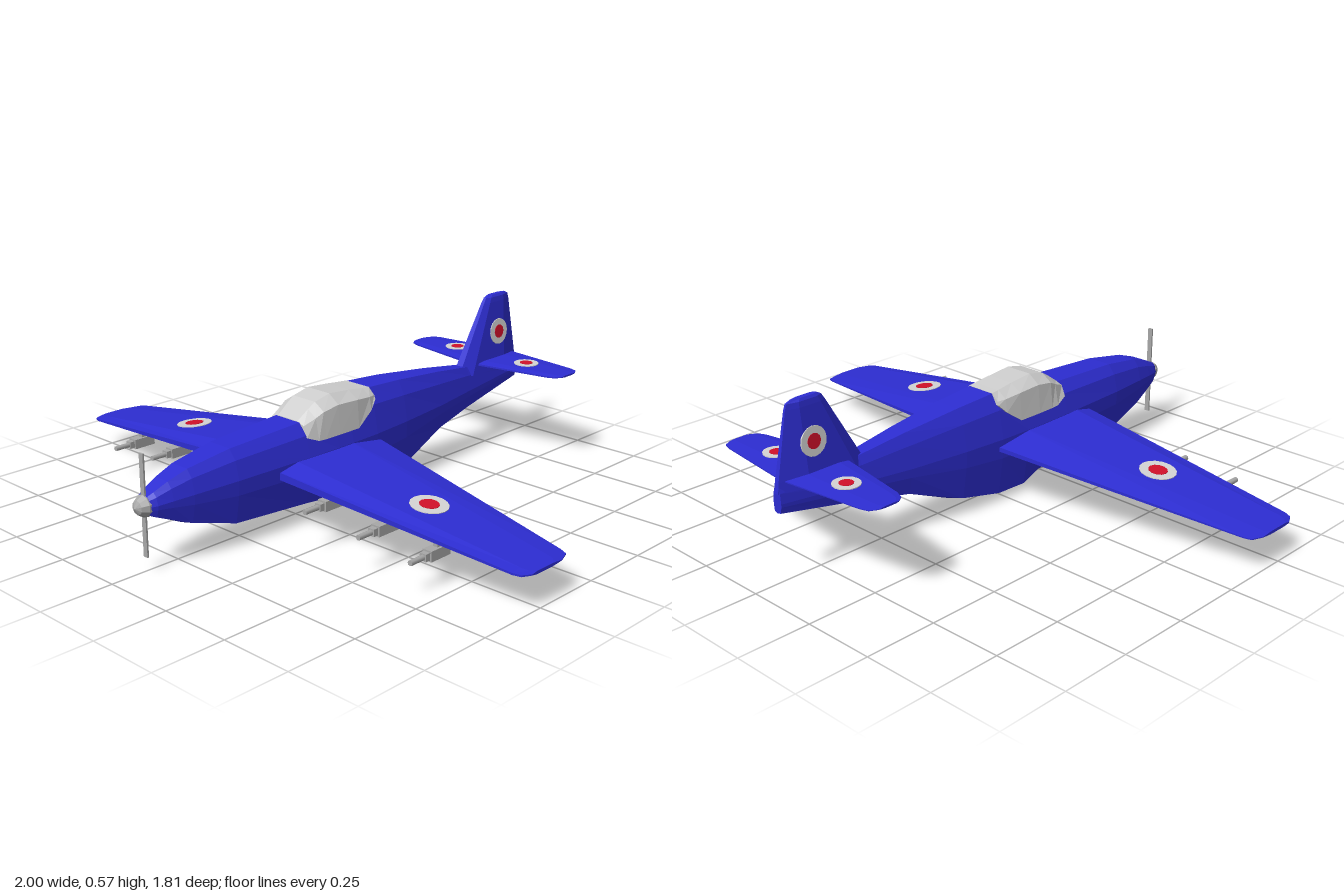
import * as THREE from 'three';

const mat = (name, color) => {
  const m = new THREE.MeshStandardMaterial({ color });
  m.name = name;
  return m;
};

// Skin a closed, flat-shaded surface over a list of equal-length rings of [x, y, z]
function loft(rings) {
  const tris = [];
  const n = rings[0].length;
  for (let i = 0; i < rings.length - 1; i++) {
    for (let j = 0; j < n; j++) {
      const k = (j + 1) % n;
      const a = rings[i][j], b = rings[i][k], c = rings[i + 1][k], d = rings[i + 1][j];
      tris.push([a, b, c], [a, c, d]);
    }
  }
  const first = rings[0], last = rings[rings.length - 1];
  for (let j = 1; j < n - 1; j++) {
    tris.push([first[0], first[j + 1], first[j]], [last[0], last[j], last[j + 1]]);
  }
  // Turn everything outward if the enclosed volume comes out negative
  let volume = 0;
  const [a, b, c] = [0, 0, 0].map(() => new THREE.Vector3());
  for (const t of tris) volume += a.fromArray(t[0]).dot(b.fromArray(t[1]).cross(c.fromArray(t[2])));
  if (volume < 0) tris.forEach((t) => t.reverse());
  const g = new THREE.BufferGeometry();
  g.setAttribute('position', new THREE.Float32BufferAttribute(tris.flat(2), 3));
  g.computeVertexNormals();
  return g;
}

// Blunt airfoil outline as [z, height from -1 to 1]
function airfoil(lead, trail) {
  const z = (f) => lead + (trail - lead) * f;
  return [[z(0), 0.4], [z(0.16), 1], [z(0.7), 1], [z(1), 0.25],
    [z(1), -0.25], [z(0.7), -1], [z(0.16), -1], [z(0), -0.4]];
}

// Horizontal surface from stations [x, lead z, trail z, top y, bottom y]
const panel = (stations, side) => loft(stations.map(([x, lead, trail, top, bottom]) =>
  airfoil(lead, trail).map(([z, h]) => [side * x, (top + bottom) / 2 + h * (top - bottom) / 2, z])));

export function createModel() {
  const model = new THREE.Group();
  const blue = mat('blue paint', 0x2d2dd2);
  const glass = mat('pale canopy', 0xcecece);
  const metal = mat('grey metal', 0xa8a8a8);
  const white = mat('marking white', 0xd4d4d4);
  const red = mat('marking red', 0xd2102a);

  const add = (name, geometry, material, parent = model) => {
    const m = new THREE.Mesh(geometry, material);
    m.name = name;
    parent.add(m);
    return m;
  };

  // Round marking of two thin discs lying on a surface
  const roundel = (name, radius, x, y, z, tilt) => {
    const g = new THREE.Group();
    g.name = name;
    add('outerDisc', new THREE.CylinderGeometry(radius, radius, 0.005, 16), white, g);
    add('innerDisc', new THREE.CylinderGeometry(radius * 0.52, radius * 0.52, 0.008, 12), red, g);
    g.position.set(x, y, z);
    g.rotation.z = tilt;
    model.add(g);
  };

  // Fuselage stations: z, half width, top, widest height, bottom
  const hull = [
    [0.87, 0.034, 0.25, 0.22, 0.19], [0.85, 0.044, 0.26, 0.222, 0.178],
    [0.8, 0.055, 0.282, 0.226, 0.155], [0.73, 0.068, 0.305, 0.23, 0.122],
    [0.57, 0.088, 0.33, 0.235, 0.07], [0.28, 0.104, 0.345, 0.238, 0.053],
    [0.15, 0.106, 0.36, 0.238, 0.04], [0.08, 0.105, 0.37, 0.238, 0.006],
    [-0.04, 0.101, 0.39, 0.238, 0.008], [-0.2, 0.09, 0.38, 0.24, 0.045],
    [-0.42, 0.064, 0.358, 0.242, 0.14], [-0.6, 0.042, 0.335, 0.25, 0.178],
    [-0.9, 0.018, 0.32, 0.27, 0.235],
  ];
  add('fuselage', loft(hull.map(([z, w, top, mid, low]) => {
    const half = [
      [0.52 * w, top], [0.82 * w, top - 0.35 * (top - mid)], [w, mid],
      [0.97 * w, mid - 0.3 * (mid - low)], [0.8 * w, low + 0.12 * (mid - low)],
    ];
    const mirrored = half.map(([x, y]) => [-x, y]).reverse();
    return [...half, [0, low], ...mirrored].map(([x, y]) => [x, y, z]);
  })), blue);

  // Canopy stations: z, base x, base y, shoulder x, shoulder y, roof x, roof y
  const canopy = [
    [0.28, 0.09, 0.3, 0.074, 0.337, 0.045, 0.347],
    [0.235, 0.099, 0.282, 0.084, 0.355, 0.048, 0.378],
    [0.205, 0.1, 0.28, 0.09, 0.37, 0.05, 0.396],
    [0.14, 0.101, 0.28, 0.092, 0.38, 0.05, 0.41],
    [0.05, 0.1, 0.28, 0.092, 0.376, 0.05, 0.402],
    [-0.015, 0.094, 0.325, 0.086, 0.37, 0.052, 0.394],
    [-0.045, 0.084, 0.355, 0.078, 0.368, 0.053, 0.391],
  ];
  add('canopy', loft(canopy.map(([z, bx, by, sx, sy, rx, ry]) =>
    [[bx, by, z], [sx, sy, z], [rx, ry, z], [-rx, ry, z], [-sx, sy, z], [-bx, by, z]])), glass);

  // Drooping wings, tailplanes, guns and their markings, mirrored
  const wing = [
    [0.05, 0.41, -0.065, 0.243, 0.178], [0.96, 0.335, 0.105, 0.135, 0.119],
    [0.985, 0.325, 0.115, 0.132, 0.118], [1, 0.295, 0.155, 0.129, 0.119],
  ];
  const tailplane = [
    [0, -0.645, -0.88, 0.343, 0.327], [0.305, -0.7, -0.845, 0.341, 0.329],
    [0.335, -0.712, -0.836, 0.34, 0.33], [0.35, -0.735, -0.81, 0.338, 0.332],
  ];
  for (const side of [1, -1]) {
    const label = side > 0 ? 'left' : 'right';
    add(label + 'Wing', panel(wing, side), blue);
    add(label + 'Tailplane', panel(tailplane, side), blue);
    roundel(label + 'WingRoundel', 0.062, side * 0.55, 0.1835, 0.215, side * -0.119);
    roundel(label + 'TailplaneRoundel', 0.045, side * 0.163, 0.342, -0.77, 0);
    roundel(label + 'FinRoundel', 0.048, side * 0.0265, 0.438, -0.775, side * -(Math.PI / 2 - 0.085));

    for (const [x, y] of [[0.26, 0.148], [0.485, 0.132], [0.69, 0.115]]) {
      const gun = new THREE.Group();
      gun.name = label + 'WingGun';
      gun.position.set(side * x, y, 0);
      model.add(gun);
      add('gunHousing', new THREE.BoxGeometry(0.034, 0.034, 0.085), metal, gun).position.z = 0.343;
      add('gunCollar', new THREE.BoxGeometry(0.024, 0.024, 0.02), metal, gun).position.z = 0.394;
      const barrel = add('gunBarrel', new THREE.CylinderGeometry(0.009, 0.009, 0.07, 8), metal, gun);
      barrel.rotation.x = Math.PI / 2;
      barrel.position.z = 0.425;
      // Pylon joining the housing to the wing
      add('gunMount', new THREE.BoxGeometry(0.018, 0.03, 0.06), metal, gun).position.set(0, 0.02, 0.32);
    }
  }

  // Fin stations: y, lead z, trail z, half thickness
  const fin = [
    [0.3, -0.565, -0.903, 0.038], [0.335, -0.585, -0.898, 0.035],
    [0.55, -0.71, -0.856, 0.0165], [0.568, -0.722, -0.85, 0.014], [0.576, -0.738, -0.832, 0.009],
  ];
  add('fin', loft(fin.map(([y, lead, trail, h]) =>
    airfoil(lead, trail).map(([z, t]) => [t * h, y, z]))), blue);

  // Spinner and two-bladed propeller
  const propeller = new THREE.Group();
  propeller.name = 'propeller';
  propeller.position.set(0, 0.217, 0.87);
  model.add(propeller);
  const nose = [[0, -0.012], [0.036, -0.012], [0.036, 0.004], [0.023, 0.025], [0, 0.037]]
    .map(([r, h]) => new THREE.Vector2(r, h));
  const spinner = new THREE.LatheGeometry(nose, 10).toNonIndexed();
  spinner.computeVertexNormals();
  add('spinner', spinner, metal, propeller).rotation.x = Math.PI / 2;
  for (const s of [1, -1]) {
    add('blade', new THREE.BoxGeometry(0.018, 0.155, 0.006), metal, propeller).position.set(0, s * 0.088, 0);
  }
  return model;
}
